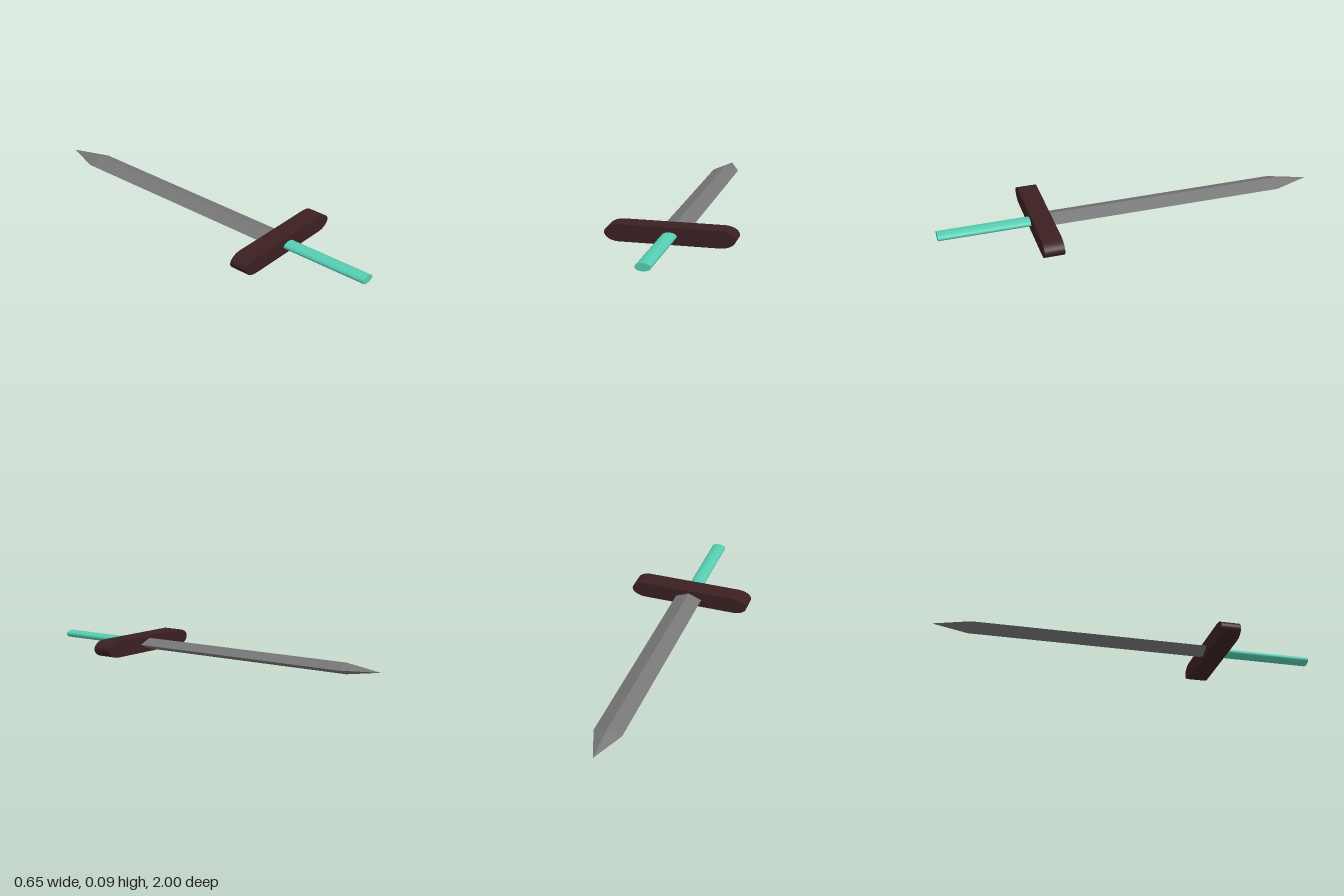
import * as THREE from 'three';

const AXIS_Y = 0.044; // height of the sword's long axis

function addPart(group, name, geometry, color, flatShading = false) {
  const material = new THREE.MeshStandardMaterial({ color, flatShading });
  const mesh = new THREE.Mesh(geometry, material);
  mesh.name = name;
  mesh.position.y = AXIS_Y;
  group.add(mesh);
}

export function createModel() {
  const sword = new THREE.Group();
  sword.name = 'sword';

  // Blade: diamond section that tapers to a point at the back
  const profile = [[0, 0], [1, 0], [1, 1.24], [0, 1.43]].map(([r, y]) => new THREE.Vector2(r, y));
  const blade = new THREE.LatheGeometry(profile, 4);
  blade.scale(0.072, 1, 0.029).rotateX(-Math.PI / 2).translate(0, 0, 0.43);
  addPart(sword, 'blade', blade, 0x777777, true);

  // Crossguard: flat bar with elliptical ends
  const straight = 0.25, endRadius = 0.076, halfHeight = 0.0435;
  const outline = new THREE.Shape();
  outline.moveTo(-straight, -halfHeight);
  outline.lineTo(straight, -halfHeight);
  outline.absellipse(straight, 0, endRadius, halfHeight, -Math.PI / 2, Math.PI / 2);
  outline.lineTo(-straight, halfHeight);
  outline.absellipse(-straight, 0, endRadius, halfHeight, Math.PI / 2, Math.PI * 1.5);
  const guard = new THREE.ExtrudeGeometry(outline, { depth: 0.103, bevelEnabled: false, curveSegments: 24 });
  guard.translate(0, 0, 0.422);
  addPart(sword, 'crossguard', guard, 0x3c2022);

  // Grip: oval rod
  const grip = new THREE.CylinderGeometry(1, 1, 0.49, 32);
  grip.scale(0.038, 1, 0.0195).rotateX(Math.PI / 2).translate(0, 0, 0.755);
  addPart(sword, 'grip', grip, 0x55cdb2);

  return sword;
}
